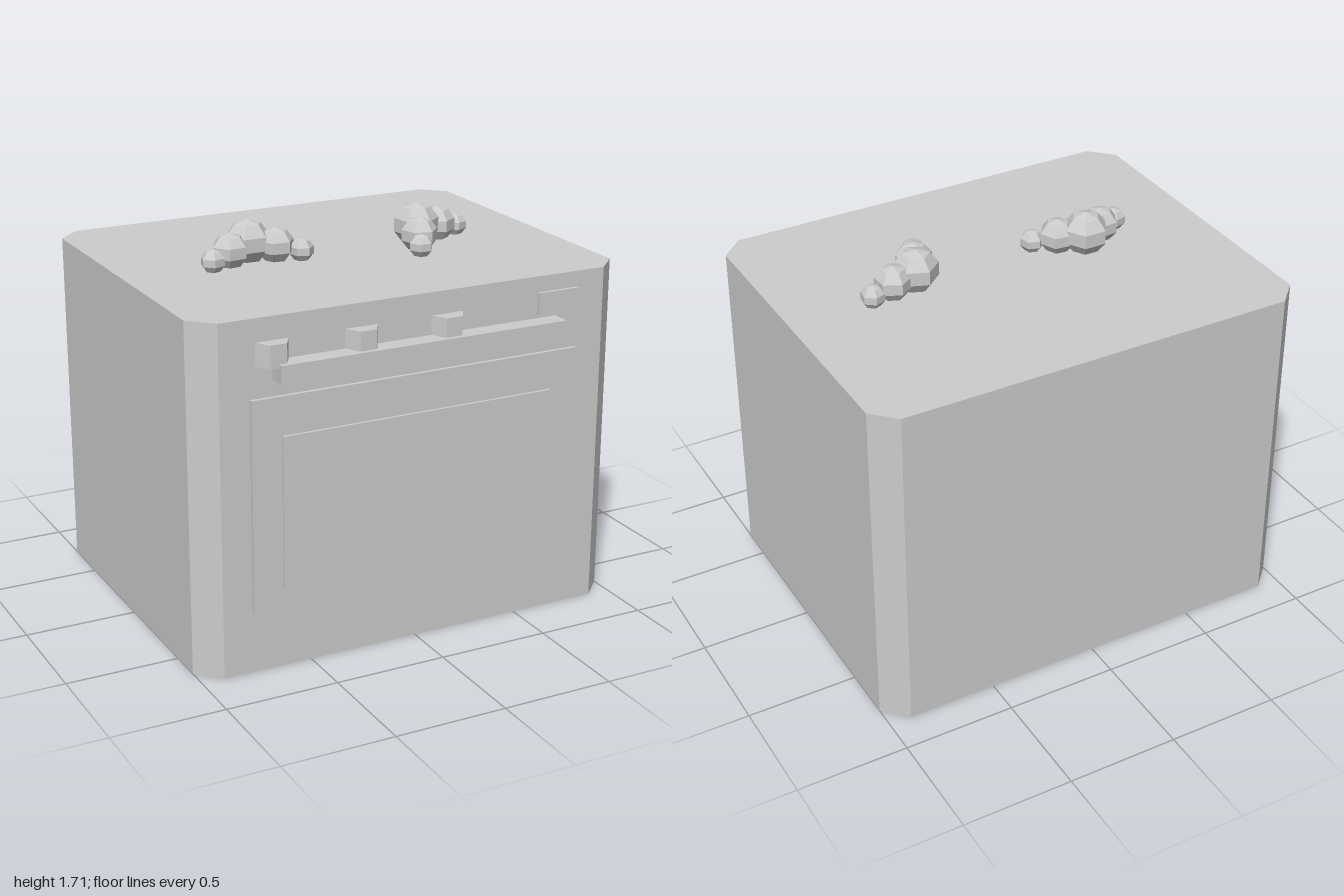
import * as THREE from 'three';

export function createModel() {
  const model = new THREE.Group();
  model.name = 'oven';
  const grey = new THREE.MeshStandardMaterial({ name: 'lightGrey', color: 0xcccccc, flatShading: true });

  const TOP = 1.535, FRONT = 0.757, BACK = -0.842, CHAMFER = 0.1;

  const add = (parent, name, geometry, x = 0, y = 0, z = 0) => {
    const mesh = new THREE.Mesh(geometry, grey);
    mesh.name = name;
    mesh.position.set(x, y, z);
    parent.add(mesh);
    return mesh;
  };

  // Box given by its limits on each axis
  const slab = (name, x0, x1, y0, y1, z0, z1) =>
    add(model, name, new THREE.BoxGeometry(x1 - x0, y1 - y0, z1 - z0),
      (x0 + x1) / 2, (y0 + y1) / 2, (z0 + z1) / 2);

  // Body: block with chamfered upright corners (shape y becomes -z)
  const c = CHAMFER;
  const outline = new THREE.Shape([
    [-1 + c, -FRONT], [1 - c, -FRONT], [1, -FRONT + c], [1, -BACK - c],
    [1 - c, -BACK], [-1 + c, -BACK], [-1, -BACK - c], [-1, -FRONT + c],
  ].map(([x, y]) => new THREE.Vector2(x, y)));
  const bodyGeometry = new THREE.ExtrudeGeometry(outline, { depth: TOP, bevelEnabled: false });
  bodyGeometry.rotateX(-Math.PI / 2);
  add(model, 'body', bodyGeometry);

  // Front panel parts
  slab('door', -0.768, 0.765, 0.27, 1.2, FRONT - 0.02, 0.775);
  slab('doorWindow', -0.635, 0.632, 0.37, 1.032, FRONT, 0.788);
  slab('doorHandle', -0.667, 0.663, 1.27, 1.352, FRONT - 0.01, 0.842);
  slab('display', 0.565, 0.765, 1.37, 1.468, 0.765, 0.78);

  // Hexagonal knobs, half sunk into the front
  for (const x of [-0.668, -0.267, 0.131]) {
    const knob = new THREE.CylinderGeometry(0.075, 0.075, 0.098, 6);
    knob.rotateY(Math.PI / 2);
    // a vertex on each side puts a flat face at the front
    knob.rotateY(knob.attributes.position.getZ(0) ** 2 > 0.005 ? Math.PI / 6 : 0);
    add(model, 'knob', knob, x, 1.386, FRONT - 0.002);
  }

  // Crescent pastries: five faceted lumps, largest in the middle
  const lumps = [
    { x: 0, z: -0.105, r: 0.105, turn: 0 },
    { x: 0.108, z: -0.048, r: 0.085, turn: 0.1 },
    { x: 0.209, z: 0, r: 0.056, turn: 0.3 },
  ];
  const pastry = (x, z, angle) => {
    const group = new THREE.Group();
    group.name = 'crescentPastry';
    group.position.set(x, TOP, z);
    group.rotation.y = angle;
    for (const lump of lumps) {
      for (const side of lump.x === 0 ? [1] : [-1, 1]) {
        const mesh = add(group, 'pastryLump', new THREE.SphereGeometry(lump.r, 6, 5),
          side * lump.x, lump.r * 0.76, lump.z);
        mesh.scale.y = 0.94;
        mesh.rotation.y = -side * lump.turn;
      }
    }
    model.add(group);
  };
  pastry(-0.403, 0.06, 0);
  pastry(0.46, 0.104, 0.69);

  return model;
}
